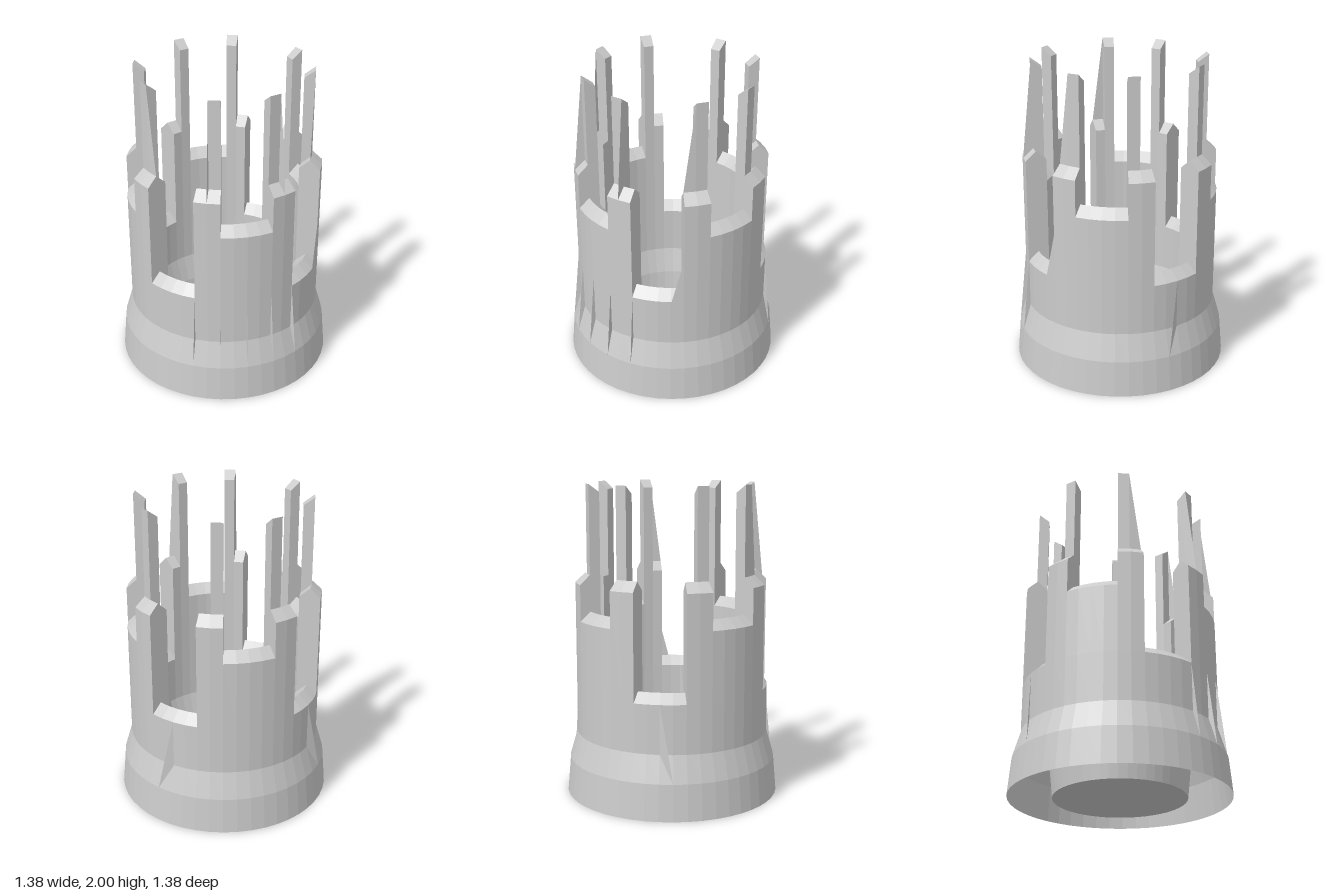
import * as THREE from 'three';

const RAD = Math.PI / 180;
const OUT = 0.62, MID = 0.555, IN = 0.487; // wall radii: outside, ridge, inside
const SILL = 0.71, NOTCH = 1.15, MERLON = 1.38, RIDGE = 0.06;

export function createModel() {
  const group = new THREE.Group();
  const material = new THREE.MeshStandardMaterial({
    color: 0xcccccc, flatShading: true, side: THREE.DoubleSide,
  });
  const add = (name, geometry) => {
    const mesh = new THREE.Mesh(geometry, material);
    mesh.name = name;
    group.add(mesh);
  };
  const vec = (list) => list.map(([r, y]) => new THREE.Vector2(r, y));

  // Revolve a profile between two azimuths (degrees from +z towards +x)
  const sweep = (name, profile, from, to) =>
    add(name, new THREE.LatheGeometry(vec(profile), Math.round((to - from) / 7.5), from * RAD, (to - from) * RAD));

  // Flat radial end face with a (radius, height) outline
  const cap = (name, outline, azimuth) =>
    add(name, new THREE.ShapeGeometry(new THREE.Shape(vec(outline))).rotateY((azimuth - 90) * RAD));

  // Thin triangular web, corners as [radius, height, azimuth]
  const web = (name, ...corners) => {
    const points = corners.map(([r, y, a]) => new THREE.Vector3(r * Math.sin(a * RAD), y, r * Math.cos(a * RAD)));
    const geometry = new THREE.BufferGeometry().setFromPoints(points);
    geometry.computeVertexNormals();
    add(name, geometry);
  };

  // Flared outer skirt, inner cup and floor
  sweep('outerSkirt', [[0.69, 0], [0.67, 0.23], [OUT, 0.4], [OUT, SILL]], 0, 360);
  sweep('innerCup', [[IN, SILL], [IN, 0.4], [0.44, 0.23], [0.415, 0]], 0, 360);
  add('floor', new THREE.CircleGeometry(0.415, 48).rotateX(-Math.PI / 2));

  // Ridged wall top above the sill
  const wall = (top) => [[OUT, SILL], [OUT, top], [MID, top + RIDGE], [IN, top], [IN, SILL]];
  const postWall = [
    [OUT, SILL], [OUT, MERLON], [MID, MERLON + RIDGE], [MID, 2], [IN, 1.95], [IN, SILL],
  ];
  const merlonSide = [...wall(MERLON), [MID, SILL + RIDGE]];
  const postSide = [[MID, MERLON + RIDGE], [MID, 2], [IN, 1.95], [IN, MERLON]];
  const notchSide = [
    [OUT, NOTCH], [OUT, MERLON], [MID, MERLON + RIDGE], [MID, 2], [IN, 1.95], [IN, NOTCH], [MID, NOTCH + RIDGE],
  ];

  // Each quarter: deep gap, merlon with post, shallow notch, post with merlon
  for (let q = 0; q < 360; q += 90) {
    sweep('deepGapSill', [[OUT, SILL], [MID, SILL + RIDGE], [IN, SILL]], q - 15, q + 15);
    sweep('merlon', wall(MERLON), q + 15, q + 22.5);
    sweep('post', postWall, q + 22.5, q + 30);
    sweep('notchWall', wall(NOTCH), q + 30, q + 60);
    sweep('post', postWall, q + 60, q + 67.5);
    sweep('merlon', wall(MERLON), q + 67.5, q + 75);
    for (const mirror of [(a) => q + a, (a) => q + 90 - a]) {
      cap('merlonSide', merlonSide, mirror(15));
      cap('postSide', postSide, mirror(22.5));
      cap('notchSide', notchSide, mirror(30));
    }
  }

  // Radial webs over the flare and behind the posts in the front left quarter
  for (let a = 15; a <= 75; a += 15) web('flareFin', [OUT, SILL, a], [0.67, 0.23, a], [OUT, 0.4, a]);
  for (const a of [22.5, 67.5]) web('postFin', [MID, 2, a], [OUT, MERLON, a], [MID, MERLON + RIDGE, a]);

  // Slanted webs beside two posts, in one gap corner and over the flare
  for (const [a, b] of [[112.5, 105], [-22.5, -15]]) {
    web('postWeb', [MID, 2, a], [MID, MERLON + RIDGE, b], [MID, MERLON + RIDGE, a]);
  }
  web('gapCornerWeb', [OUT, 1, 105], [OUT, SILL, 98], [OUT, SILL, 105]);
  for (const [a, b] of [[180, 172.5], [270, 277.5]]) {
    web('flareWeb', [OUT, SILL, a], [0.675, 0.23, b], [OUT, 0.4, a]);
  }
  for (const [a, b] of [[90, 80], [180, 175]]) {
    web('cupWeb', [IN, SILL, a], [0.45, 0.23, b], [0.44, 0.23, a]);
  }
  return group;
}
